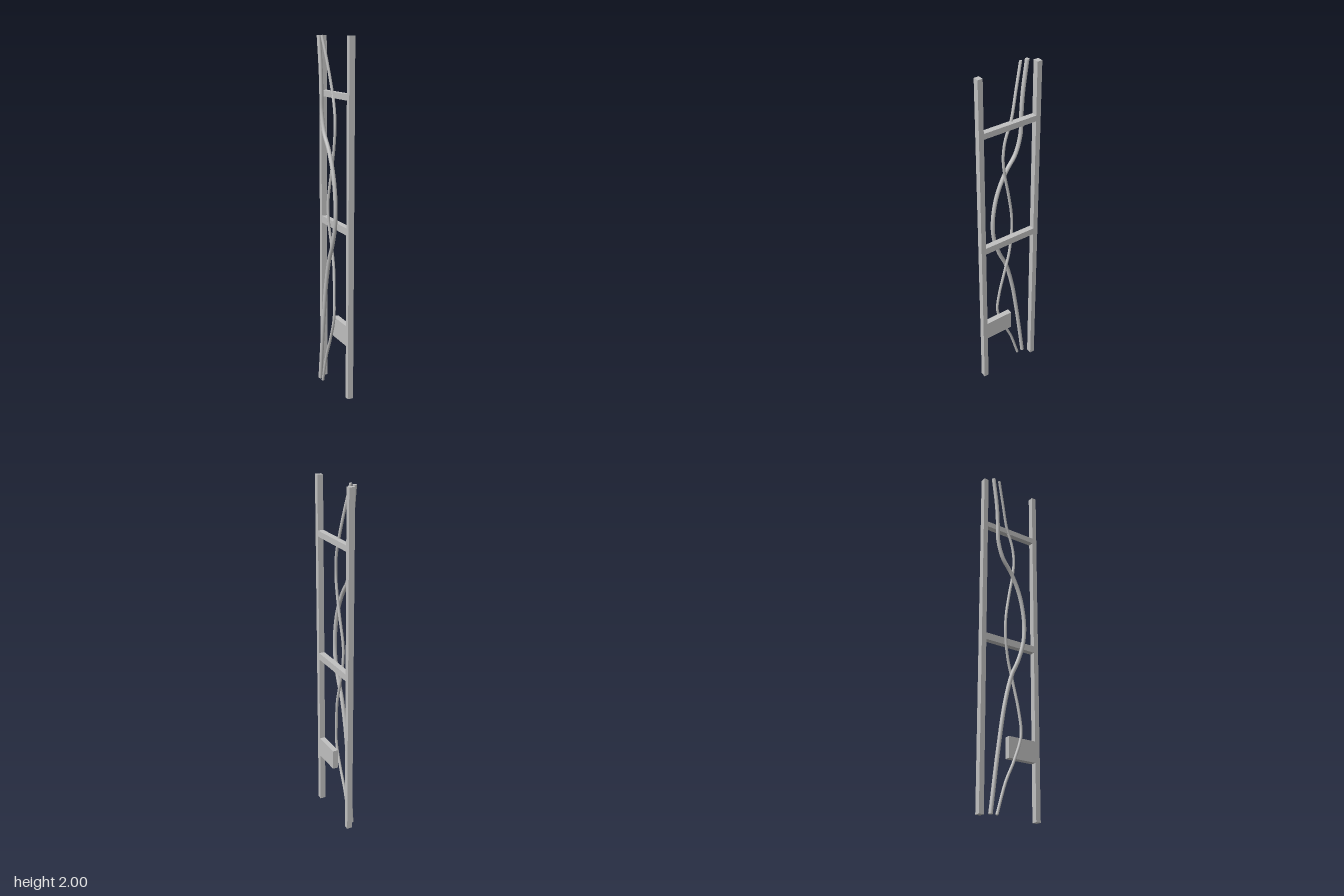
import * as THREE from 'three';

export function createModel() {
  const model = new THREE.Group();
  const steel = new THREE.MeshStandardMaterial({ color: 0xc0c0c0 });
  steel.name = 'light grey';

  // Frame members share the same depth in x
  const DEPTH = 0.033, FRAME_X = 0.0175;
  function bar(name, y0, y1, z0, z1) {
    const mesh = new THREE.Mesh(new THREE.BoxGeometry(DEPTH, y1 - y0, z1 - z0), steel);
    mesh.position.set(FRAME_X, (y0 + y1) / 2, (z0 + z1) / 2);
    mesh.name = name;
    model.add(mesh);
  }
  bar('frontPost', 0, 2, 0.161, 0.19);
  bar('backPost', 0, 2, -0.19, -0.161);
  bar('upperRung', 1.672, 1.705, -0.161, 0.161);
  bar('middleRung', 0.95, 0.99, -0.161, 0.161);
  bar('sidePlate', 0.312, 0.43, -0.01, 0.161);

  // Cables: smooth tubes through [x, y, z] points, closed with flat ends
  function cable(name, radius, points) {
    const group = new THREE.Group();
    group.name = name;
    const curve = new THREE.CatmullRomCurve3(points.map((p) => new THREE.Vector3(...p)));
    group.add(new THREE.Mesh(new THREE.TubeGeometry(curve, 96, radius, 16), steel));
    for (const [t, tilt] of [[0, -Math.PI / 2], [1, Math.PI / 2]]) {
      const cap = new THREE.Mesh(new THREE.CircleGeometry(radius, 16), steel);
      cap.position.copy(curve.getPoint(t));
      cap.rotation.x = tilt;
      cap.name = name + 'End';
      group.add(cap);
    }
    model.add(group);
  }

  const X = -0.023;
  cable('thickCable', 0.0115, [
    [X, 2, -0.14], [X, 1.82, -0.116], [X, 1.69, -0.108], [X, 1.59, -0.105],
    [X, 1.48, -0.073], [X, 1.39, -0.01], [X, 1.26, 0.048], [X, 1.1, 0.076],
    [X, 0.98, 0.069], [X, 0.86, 0.033], [X, 0.77, -0.008], [X, 0.6, -0.053],
    [X, 0.335, -0.095], [X, 0, -0.138],
  ]);
  cable('thinCable', 0.008, [
    [X, 2, -0.1], [-0.008, 1.86, -0.063], [0.004, 1.71, -0.026], [0.002, 1.6, 0.01],
    [-0.001, 1.5, 0.021], [-0.003, 1.39, 0.01], [-0.006, 1.26, -0.016],
    [-0.013, 1.1, -0.043], [-0.011, 0.99, -0.042], [-0.004, 0.86, -0.021],
    [-0.004, 0.73, 0.012], [-0.015, 0.57, 0.042], [-0.021, 0.44, 0.052],
    [X, 0.3, 0.008], [X, 0.175, -0.047], [X, 0, -0.1],
  ]);

  return model;
}
